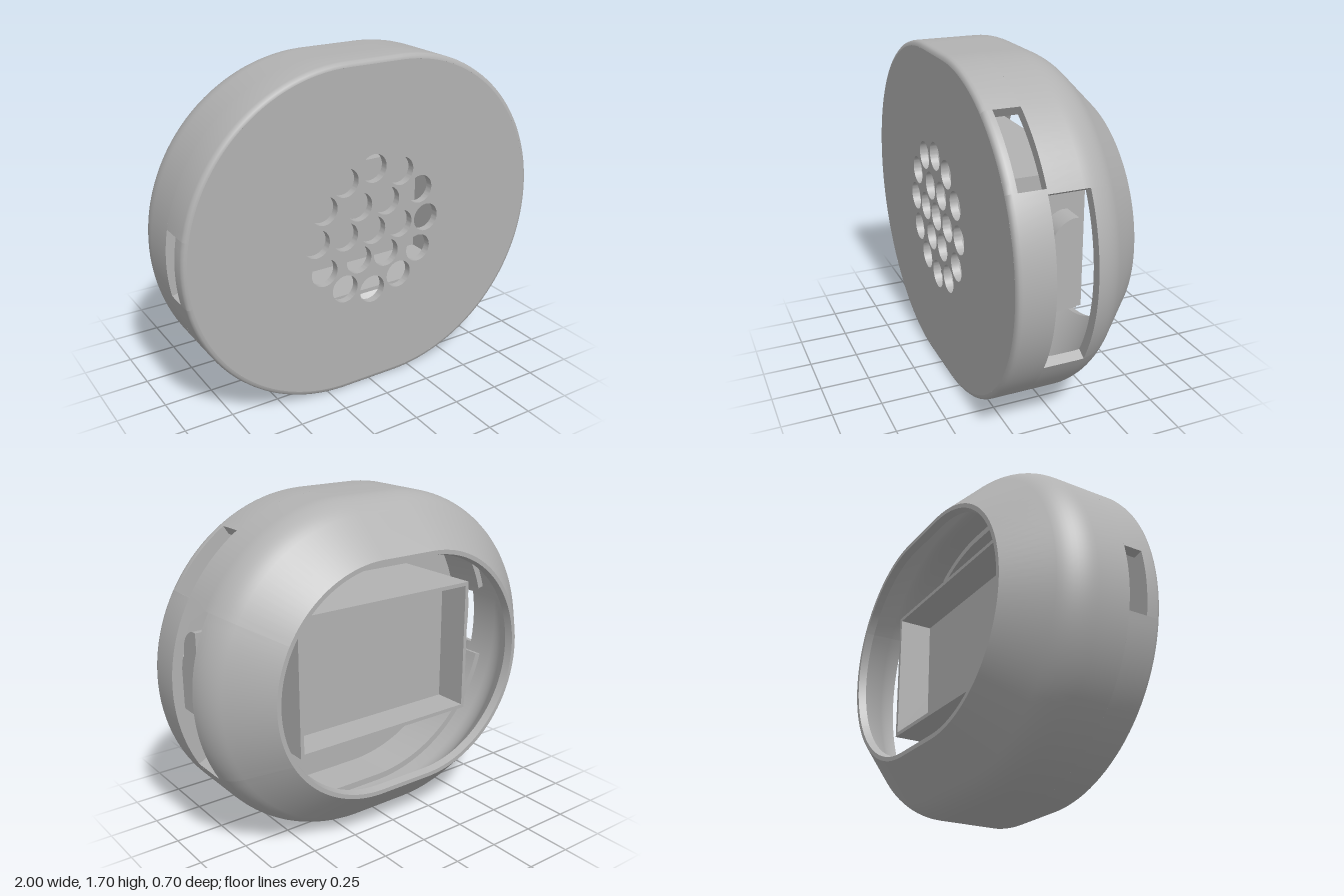
import * as THREE from 'three';
import { toCreasedNormals } from 'three/addons/utils/BufferGeometryUtils.js';

const HALF = 0.15, R = 0.85, CY = 0.85; // pill outline: two arcs joined by short straights

// Sweep a closed (radius, z) profile around the pill outline from angle a0 to a1 (degrees)
function sweep(profile, a0, a1) {
  const pts = profile.map(([r, z]) => new THREE.Vector2(r, z));
  if (THREE.ShapeUtils.isClockWise(pts)) pts.reverse();
  const steps = Math.max(2, Math.ceil((a1 - a0) / 3));
  const cols = [];
  const side = (a) => (Math.cos(a * Math.PI / 180) >= 0 ? 1 : -1);
  for (let i = 0; i <= steps; i++) {
    const a = a0 + (a1 - a0) * i / steps;
    if (i) {
      const prev = cols[cols.length - 1];
      if (side(a) !== prev.s) {
        const mid = Math.sin(a * Math.PI / 180) > 0 ? 90 : 270;
        cols.push({ a: mid, s: prev.s }, { a: mid, s: side(a) });
      }
    }
    cols.push({ a, s: side(a) });
  }
  const n = pts.length, pos = [], index = [];
  for (const { a, s } of cols) {
    const c = Math.cos(a * Math.PI / 180), d = Math.sin(a * Math.PI / 180);
    for (const p of pts) pos.push(s * HALF + p.x * c, CY + p.x * d, p.y);
  }
  for (let i = 0; i < cols.length - 1; i++) {
    for (let j = 0; j < n; j++) {
      const k = (j + 1) % n, p = i * n, q = p + n;
      index.push(p + j, q + j, p + k, q + j, q + k, p + k);
    }
  }
  if (a1 - a0 < 360) {
    const last = (cols.length - 1) * n;
    for (const [a, b, c] of THREE.ShapeUtils.triangulateShape(pts, [])) {
      index.push(a, b, c, last + a, last + c, last + b);
    }
  }
  const g = new THREE.BufferGeometry();
  g.setAttribute('position', new THREE.Float32BufferAttribute(pos, 3));
  g.setIndex(index);
  return toCreasedNormals(g, 0.7);
}

// Rear housing wall: straight side, rounded shoulder, 45 degree taper, thin rim
function housingProfile(slotted) {
  const arc = (rad) => {
    const start = slotted ? Math.asin(0.03 / rad) : 0, out = [];
    for (let i = 0; i <= 8; i++) {
      const t = start + (Math.PI / 4 - start) * i / 8;
      out.push([0.61 + rad * Math.cos(t), -rad * Math.sin(t)]);
    }
    return out;
  };
  const outer = [...arc(0.24), [0.6, -0.35]];
  const inner = [...arc(0.19), [0.568, -0.31], [0.578, -0.35]];
  if (!slotted) {
    outer.unshift([R, 0.17]);
    inner.unshift([0.8, 0.17]);
  }
  return [...outer, ...inner.reverse()];
}

// Lid wall with a rounded front edge, starting at the given z
const lidProfile = (z) => [[R, z], [R, 0.325], [0.847, 0.338], [0.838, 0.347], [0.825, 0.35], [0.8, 0.31], [0.8, z]];

function pillShape(r) {
  const s = new THREE.Shape();
  s.moveTo(HALF, -r);
  s.absarc(HALF, 0, r, -Math.PI / 2, Math.PI / 2, false);
  s.absarc(-HALF, 0, r, Math.PI / 2, Math.PI * 1.5, false);
  s.closePath();
  return s;
}

function rect(w, h, Type) {
  const s = new Type();
  s.moveTo(-w / 2, -h / 2);
  s.lineTo(w / 2, -h / 2);
  s.lineTo(w / 2, h / 2);
  s.lineTo(-w / 2, h / 2);
  s.closePath();
  return s;
}

export function createModel() {
  const model = new THREE.Group();
  model.name = 'speakerCase';
  const grey = new THREE.MeshStandardMaterial({ color: 0xb2b2b2 });
  grey.name = 'grey plastic';
  const add = (name, geometry, x = 0, y = 0, z = 0) => {
    const m = new THREE.Mesh(geometry, grey);
    m.name = name;
    m.position.set(x, y, z);
    model.add(m);
    return m;
  };

  // Rear housing with a long slot on its left side
  add('housing', sweep(housingProfile(false), 28.8, 330.6));
  add('housingBelowSlot', sweep(housingProfile(true), -29.4, 28.8));

  // Lid wall with a window at upper left and another on the right
  add('lidWall', sweep(lidProfile(0.17), 56.6, 168.8));
  add('lidWall', sweep(lidProfile(0.17), 191.2, 390.4));
  add('lidWallAtLeftWindow', sweep(lidProfile(0.30), 30.4, 56.6));
  add('lidWallAtRightWindow', sweep(lidProfile(0.27), 168.8, 191.2));

  // Inner locating lips
  const lip = [[0.8, 0.08], [0.8, 0.31], [0.765, 0.31], [0.765, 0.08]];
  add('innerLip', sweep(lip, 60, 165));
  add('innerLip', sweep(lip, 195, 325));

  // Front plate with the round speaker grille
  const plate = pillShape(0.825);
  for (const [count, radius] of [[1, 0], [6, 0.16], [12, 0.32]]) {
    for (let i = 0; i < count; i++) {
      const a = i / count * Math.PI * 2;
      const hole = new THREE.Path();
      hole.absarc(radius * Math.cos(a), radius * Math.sin(a), 0.072, 0, Math.PI * 2, true);
      plate.holes.push(hole);
    }
  }
  const plateGeo = new THREE.ExtrudeGeometry(plate, { depth: 0.04, bevelEnabled: false, curveSegments: 32 });
  add('frontPlate', toCreasedNormals(plateGeo, 0.6), 0, CY, 0.31);

  // Rectangular inner box, divided by a floor
  const frame = rect(1.07, 0.71, THREE.Shape);
  frame.holes.push(rect(1.03, 0.67, THREE.Path));
  add('innerFrame', new THREE.ExtrudeGeometry(frame, { depth: 0.51, bevelEnabled: false }), 0, CY, -0.2);
  add('innerFloor', new THREE.BoxGeometry(1.04, 0.68, 0.02), 0, CY, -0.01);

  // Catch inside the side slot, with a rounded upper end
  const tab = new THREE.Shape();
  tab.moveTo(-0.2, 0.73);
  tab.lineTo(-0.04, 0.73);
  tab.lineTo(-0.04, 1.15);
  tab.lineTo(-0.07, 1.15);
  tab.quadraticCurveTo(-0.17, 1.12, -0.17, 1.0);
  tab.lineTo(-0.2, 1.0);
  tab.closePath();
  const tabGeo = new THREE.ExtrudeGeometry(tab, { depth: 0.11, bevelEnabled: false, curveSegments: 10 });
  add('sideCatch', toCreasedNormals(tabGeo, 0.6), 0.82).rotation.y = Math.PI / 2;

  return model;
}
